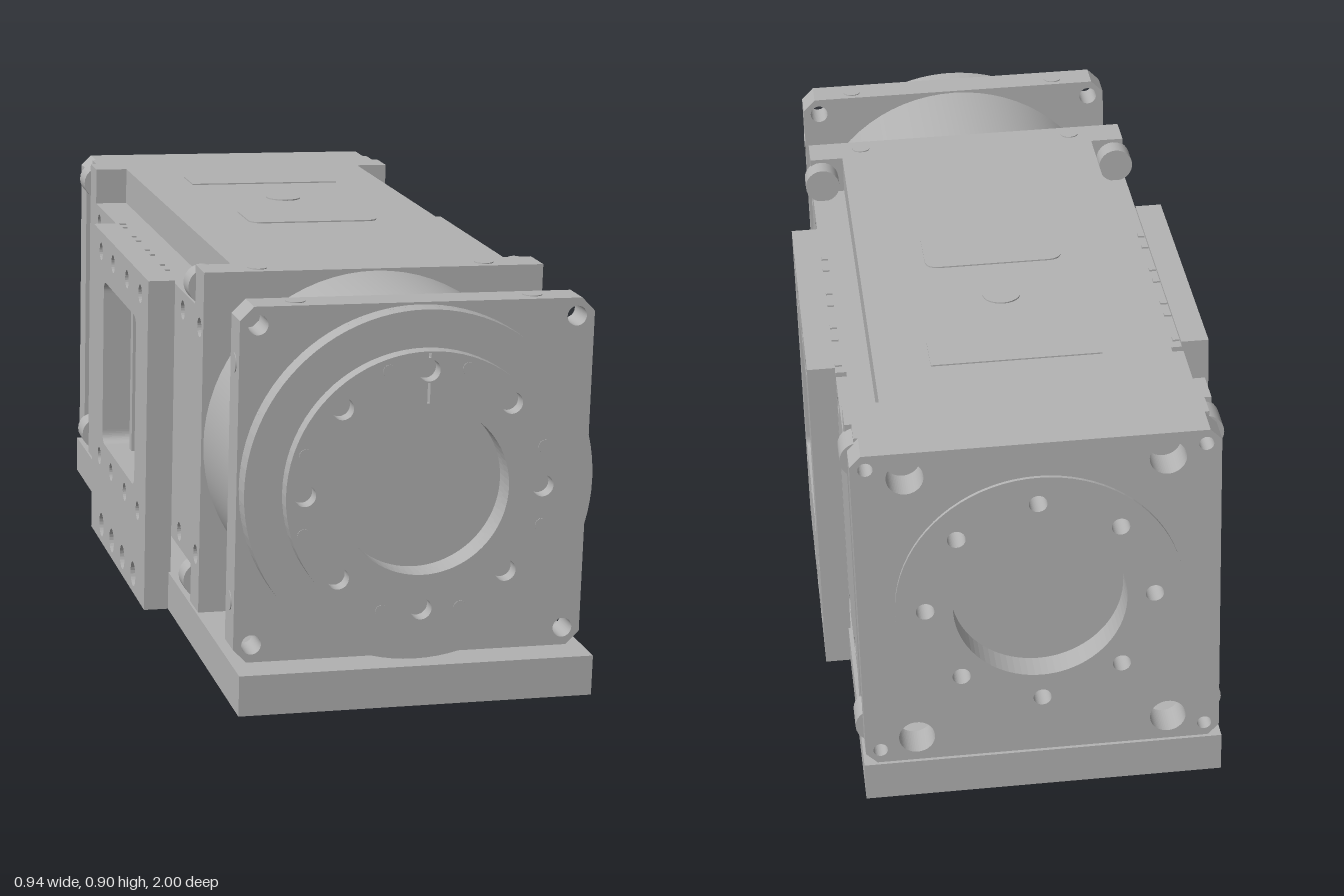
import * as THREE from 'three';

const metal = new THREE.MeshStandardMaterial({ color: 0xb2b2b2 });
metal.name = 'machined grey';

export function createModel() {
  const model = new THREE.Group();
  model.name = 'rotaryActuator';
  // everything is laid out about the drive axis, then rolled slightly
  const unit = new THREE.Group();
  unit.name = 'tiltedAssembly';
  unit.position.y = 0.4985;
  unit.rotation.z = -0.0273;
  model.add(unit);

  const add = (name, geo) => {
    const m = new THREE.Mesh(geo, metal);
    m.name = name;
    unit.add(m);
    return m;
  };
  const box = (name, x0, x1, y0, y1, z0, z1) =>
    add(name, new THREE.BoxGeometry(x1 - x0, y1 - y0, z1 - z0)
      .translate((x0 + x1) / 2, (y0 + y1) / 2, (z0 + z1) / 2));
  const cylZ = (name, r, z0, z1, x = 0, y = 0, seg = 24) =>
    add(name, new THREE.CylinderGeometry(r, r, z1 - z0, seg)
      .rotateX(Math.PI / 2).translate(x, y, (z0 + z1) / 2));

  // outline helpers
  const circle = (r, x = 0, y = 0) => {
    const p = new THREE.Shape();
    p.absarc(x, y, r, 0, Math.PI * 2, false);
    return p;
  };
  const rect = (x0, x1, y0, y1, c = 0) => {
    const p = new THREE.Shape();
    if (!c) {
      p.moveTo(x0, y0).lineTo(x1, y0).lineTo(x1, y1).lineTo(x0, y1);
    } else {
      p.moveTo(x0 + c, y0).lineTo(x1 - c, y0).quadraticCurveTo(x1, y0, x1, y0 + c)
        .lineTo(x1, y1 - c).quadraticCurveTo(x1, y1, x1 - c, y1)
        .lineTo(x0 + c, y1).quadraticCurveTo(x0, y1, x0, y1 - c)
        .lineTo(x0, y0 + c).quadraticCurveTo(x0, y0, x0 + c, y0);
    }
    p.closePath();
    return p;
  };
  const chamfered = (h, c) => new THREE.Shape([
    [-h + c, -h], [h - c, -h], [h, -h + c], [h, h - c],
    [h - c, h], [-h + c, h], [-h, h - c], [-h, -h + c],
  ].map(([x, y]) => new THREE.Vector2(x, y)));
  const extrude = (shape, holes, depth, segs = 12) => {
    shape.holes.push(...holes);
    return new THREE.ExtrudeGeometry(shape, { depth, bevelEnabled: false, curveSegments: segs });
  };
  const plateZ = (name, shape, holes, z0, z1, segs) =>
    add(name, extrude(shape, holes, z1 - z0, segs).translate(0, 0, z0));
  // side plate: outline drawn as (-z, y), spanning x0..x1 on the chosen side
  const plateX = (name, side, shape, holes, x0, x1) =>
    add(name, extrude(shape, holes, x1 - x0).rotateY(Math.PI / 2)
      .translate(side > 0 ? x0 : -x1, 0, 0));
  const around = (n, r, hole, start = 0) => Array.from({ length: n }, (_, i) => {
    const a = start + i * Math.PI * 2 / n;
    return circle(hole, r * Math.cos(a), r * Math.sin(a));
  });
  const corners = (x, y, r) => [[1, 1], [-1, 1], [-1, -1], [1, -1]]
    .map(([a, b]) => circle(r, a * x, b * y));

  // base plate with centre bore and bolt circle
  add('basePlate', extrude(rect(-0.4, 0.4, -1, 1),
    [circle(0.105), ...around(8, 0.25, 0.018)], 0.091, 16)
    .rotateX(-Math.PI / 2).translate(0, -0.486, 0));

  // main housing: cross-shaped section, squared off at both ends
  box('housingCore', -0.315, 0.315, -0.395, 0.395, -0.855, 0.56);
  box('housingWaist', -0.37, 0.37, -0.305, 0.305, -0.855, 0.56);
  box('rearTopBridge', -0.38, 0.38, 0.35, 0.395, -0.915, -0.855);
  for (const sx of [1, -1]) for (const sy of [1, -1]) {
    for (const [z0, z1] of [[0.47, 0.56], [-0.855, -0.77]]) {
      const xs = [0.315 * sx, 0.395 * sx].sort((a, b) => a - b);
      const ys = [0.305 * sy, 0.395 * sy].sort((a, b) => a - b);
      box('housingCorner', xs[0], xs[1], ys[0], ys[1], z0, z1);
    }
    cylZ('frontTieBolt', 0.042, 0.42, 0.475, 0.37 * sx, 0.345 * sy);
    cylZ('rearTieBolt', 0.042, -0.92, -0.85, 0.37 * sx, 0.345 * sy);
  }

  // both sides: skins, mounting bracket, window ribs, small screws
  const windowHole = () => rect(-0.11, 0.31, -0.22, 0.195, 0.03);
  const screwRows = zs => zs.flatMap(z => [circle(0.022, -z, 0.262), circle(0.022, -z, -0.268)]);
  for (const side of [1, -1]) {
    plateX('sideSkin', side, rect(-0.56, 0.465, -0.305, 0.305),
      [windowHole(), ...screwRows([0.52, 0.34])], 0.37, 0.395);
    plateX('rearSideSkin', side, rect(0.485, 0.855, -0.305, 0.305),
      screwRows([-0.54, -0.72]), 0.37, 0.395);
    plateX('sideBracket', side, rect(-0.25, 0.455, -0.486, 0.312),
      [windowHole(), ...screwRows([0.155, -0.01, -0.19, -0.35]),
        ...[0.11, -0.03, -0.17, -0.31].map(z => circle(0.03, -z, -0.44))], 0.395, 0.458);
    for (const z of [0.04, -0.07, -0.13, -0.22]) {
      const x = 0.385 * side;
      box('windowRib', x - 0.018, x + 0.018, -0.22, 0.195, z - 0.014, z + 0.014);
    }
    for (const z of [-0.43, -0.31, -0.25, -0.14, -0.08, 0.04, 0.1]) {
      const x = 0.386 * side;
      box('ledgePin', x - 0.008, x + 0.008, 0.305, 0.309, z - 0.008, z + 0.008);
    }
    for (const y of [0.265, -0.265]) {
      add('flangeSideScrew', new THREE.CylinderGeometry(0.022, 0.022, 0.006, 20)
        .rotateZ(Math.PI / 2).translate(0.394 * side, y, 0.87));
    }
    for (const z of [0.87, 0.52]) {
      add('topScrew', new THREE.CylinderGeometry(0.022, 0.022, 0.006, 20)
        .translate(0.265 * side, 0.394, z));
    }
  }

  // cover details on top
  const topPlate = (name, shape) => add(name, extrude(shape, [], 0.004)
    .rotateX(-Math.PI / 2).translate(0, 0.394, 0));
  topPlate('topCover', rect(-0.16, 0.16, -0.01, 0.165, 0.035));
  topPlate('topPlug', circle(0.043, 0, 0.32));
  topPlate('namePlate', rect(-0.19, 0.19, 0.52, 0.63));

  // front drive: drum, square flange, disc and output ring
  cylZ('drum', 0.39, 0.55, 0.93, 0, 0, 72);
  plateZ('frontFlange', chamfered(0.395, 0.03),
    [circle(0.25), ...corners(0.355, 0.355, 0.022)], 0.835, 0.915, 32);
  plateZ('frontDisc', circle(0.39), [circle(0.19)], 0.915, 0.965, 48);
  plateZ('outputRing', circle(0.307), [
    circle(0.188), ...around(8, 0.265, 0.024),
    rect(-0.003, 0.003, 0.193, 0.238), rect(-0.003, 0.003, 0.292, 0.303),
  ], 0.965, 1, 40);
  for (let q = 0; q < 4; q++) for (const d of [-0.32, 0.32]) {
    const a = q * Math.PI / 2 + d;
    cylZ('dowelPin', 0.015, 0.99, 1.0015, 0.28 * Math.cos(a), 0.28 * Math.sin(a), 16);
  }

  // rear end plate with counterbores and bearing ring
  plateZ('rearPlate', chamfered(0.395, 0.025), [circle(0.3),
    ...corners(0.28, 0.335, 0.04), ...corners(0.362, 0.362, 0.016)], -0.992, -0.915, 32);
  cylZ('rearBoreFloor', 0.305, -0.935, -0.917, 0, 0, 64);
  plateZ('rearRing', circle(0.315), [circle(0.19), ...around(8, 0.25, 0.02)], -1, -0.99, 40);
  plateZ('rearRingBody', circle(0.302), [circle(0.19), ...around(8, 0.25, 0.02)],
    -0.99, -0.935, 40);
  return model;
}
